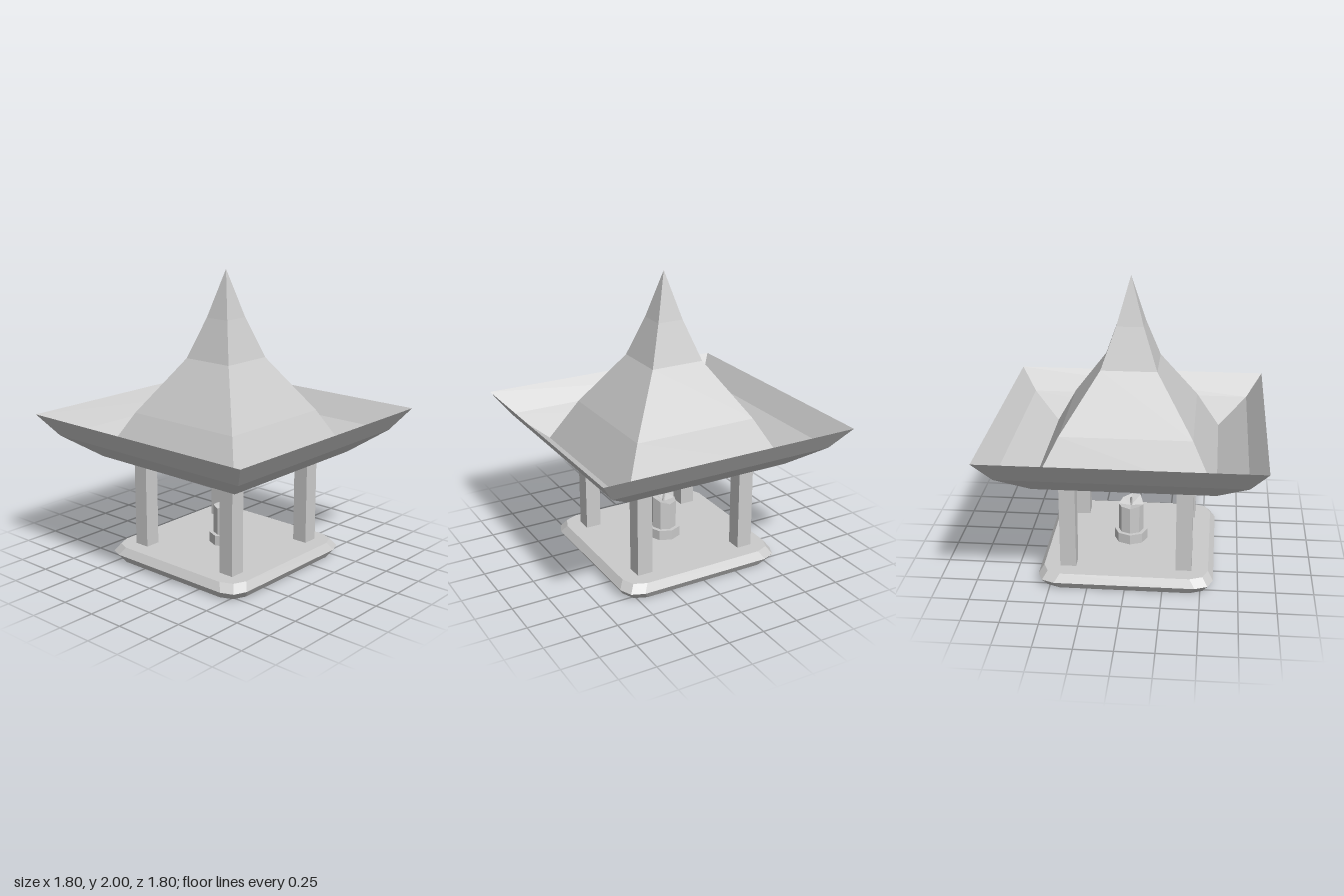
import * as THREE from 'three';

const grey = new THREE.MeshStandardMaterial({ color: 0xcccccc, flatShading: true });
const greyThin = new THREE.MeshStandardMaterial({ color: 0xcccccc, flatShading: true, side: THREE.DoubleSide });

function part(name, geometry, material = grey) {
  const mesh = new THREE.Mesh(geometry, material);
  mesh.name = name;
  return mesh;
}

// Square surface swept from a profile of [half width, height] points
function squareSweep(profile) {
  const points = profile.map(([r, y]) => new THREE.Vector2(r * Math.SQRT2, y));
  return new THREE.LatheGeometry(points, 4, Math.PI / 4).toNonIndexed();
}

// Stacked loops with rounded corners, closed at the top and bottom
function platformGeometry(levels) {
  const loops = levels.map(([h, y]) => {
    const a = h - 0.12, b = h - 0.035;
    const loop = [];
    for (let q = 0; q < 4; q++) {
      for (const [x, z] of [[h, a], [b, b], [a, h]]) {
        const p = new THREE.Vector3(x, y, z);
        loop.push(p.applyAxisAngle(new THREE.Vector3(0, 1, 0), -q * Math.PI / 2));
      }
    }
    return loop;
  });
  const n = loops[0].length, tris = [];
  for (let i = 0; i < n; i++) {
    const j = (i + 1) % n;
    for (let k = 0; k + 1 < loops.length; k++) {
      const lo = loops[k], hi = loops[k + 1];
      tris.push(lo[i], hi[i], hi[j], lo[i], hi[j], lo[j]);
    }
    const bottom = loops[0], top = loops[loops.length - 1];
    tris.push(new THREE.Vector3(0, levels[0][1], 0), bottom[i], bottom[j]);
    tris.push(new THREE.Vector3(0, levels[levels.length - 1][1], 0), top[j], top[i]);
  }
  const g = new THREE.BufferGeometry().setFromPoints(tris);
  g.computeVertexNormals();
  return g;
}

// Eight-sided candle with an uneven melted rim and a dipped centre
function candleGeometry() {
  const rim = [0.365, 0.41, 0.405, 0.385, 0.365, 0.37, 0.365, 0.375];
  const g = new THREE.CylinderGeometry(0.087, 0.087, 0.2, 8);
  const pos = g.attributes.position;
  for (let i = 0; i < pos.count; i++) {
    const x = pos.getX(i), z = pos.getZ(i);
    const k = (Math.round(Math.atan2(x, z) / (Math.PI / 4)) + 8) % 8;
    const top = Math.hypot(x, z) < 0.01 ? 0.355 : rim[k];
    pos.setY(i, pos.getY(i) > 0 ? top : 0.17);
  }
  g.computeVertexNormals();
  return g;
}

export function createModel() {
  const model = new THREE.Group();

  // Base slab
  model.add(part('platform', platformGeometry([[0.55, 0], [0.585, 0.053], [0.55, 0.105]])));

  // Corner posts
  const post = new THREE.BoxGeometry(0.107, 0.64, 0.107);
  for (const x of [-1, 1]) {
    for (const z of [-1, 1]) {
      const mesh = part('post', post);
      mesh.position.set(x * 0.387, 0.42, z * 0.387);
      model.add(mesh);
    }
  }

  // Upturned eaves running into the concave spire
  model.add(part('roof', squareSweep([
    [0.9, 1.04], [0.79, 0.89], [0.59, 0.74], [0.432, 1.04],
    [0.185, 1.41], [0.09, 1.68], [0, 2],
  ]), greyThin));

  // Flat underside with a square opening
  model.add(part('soffit', squareSweep([[0.59, 0.74], [0.333, 0.74], [0.333, 0.84]]), greyThin));

  // Candle on its holder
  const holder = part('candleHolder', new THREE.CylinderGeometry(0.115, 0.115, 0.075, 8));
  holder.position.y = 0.138;
  model.add(holder);
  model.add(part('candle', candleGeometry()));

  const wickPath = new THREE.CatmullRomCurve3([
    new THREE.Vector3(0.005, 0.35, 0),
    new THREE.Vector3(0.002, 0.385, 0),
    new THREE.Vector3(-0.008, 0.418, 0),
  ]);
  model.add(part('wick', new THREE.TubeGeometry(wickPath, 3, 0.008, 5), greyThin));

  return model;
}
